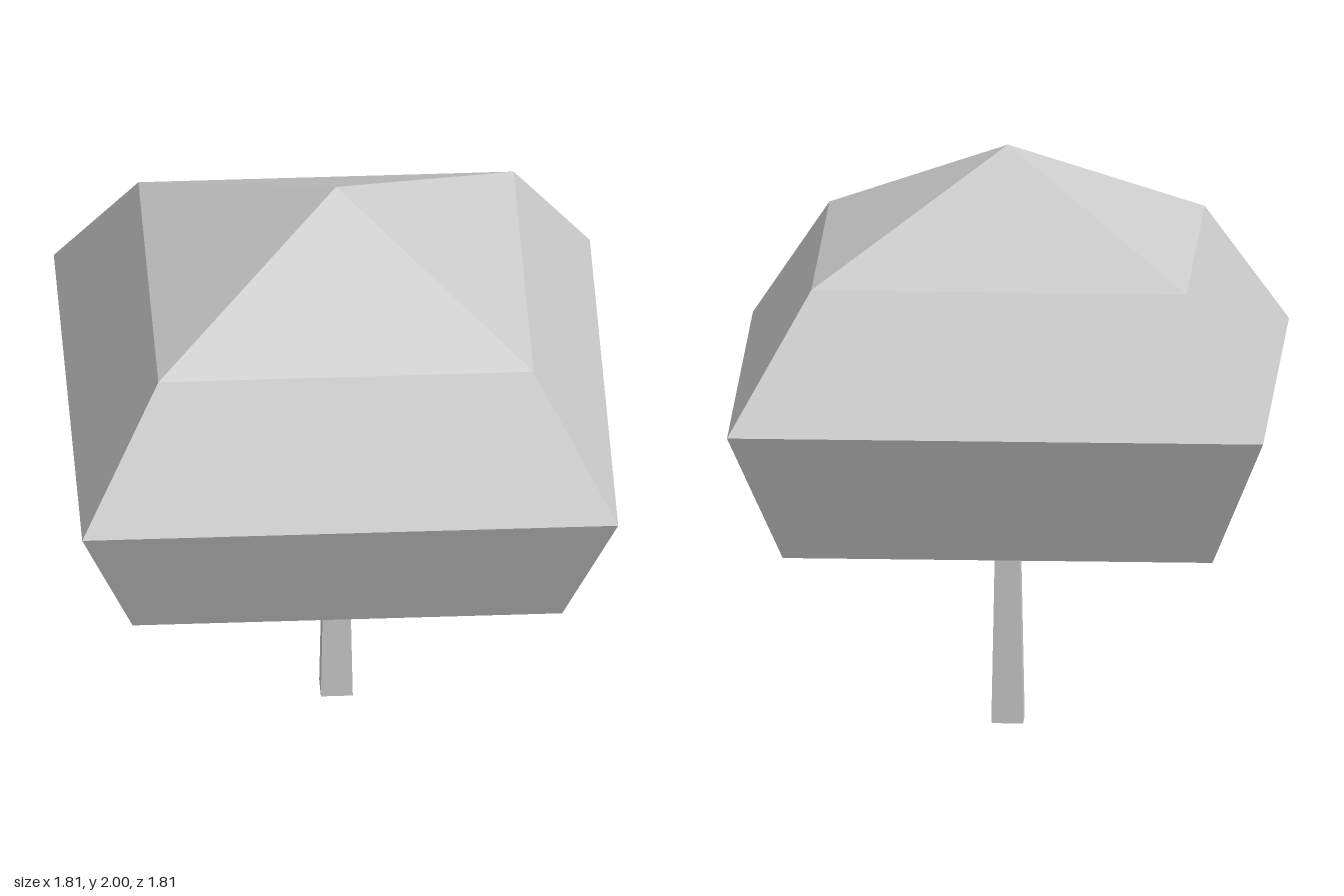
import * as THREE from 'three';

// Square-section solid turned from a profile of [half width, height] points
function squareLathe(name, profile) {
  const points = profile.map(([half, y]) => new THREE.Vector2(half * Math.SQRT2, y));
  const smooth = new THREE.LatheGeometry(points, 4, Math.PI / 4);
  const geometry = smooth.toNonIndexed();
  geometry.computeVertexNormals();
  const material = new THREE.MeshStandardMaterial({
    color: 0xcccccc, flatShading: true, side: THREE.DoubleSide,
  });
  const mesh = new THREE.Mesh(geometry, material);
  mesh.name = name;
  return mesh;
}

export function createModel() {
  const tree = new THREE.Group();
  tree.name = 'tree';

  // Tapered trunk, open at the foot
  tree.add(squareLathe('trunk', [[0.054, 0], [0.04, 0.73]]));

  // Faceted canopy with a flat underside and pointed top
  tree.add(squareLathe('canopy', [
    [0, 0.73], [0.727, 0.73], [0.907, 1.187], [0.635, 1.64], [0, 2],
  ]));

  return tree;
}
